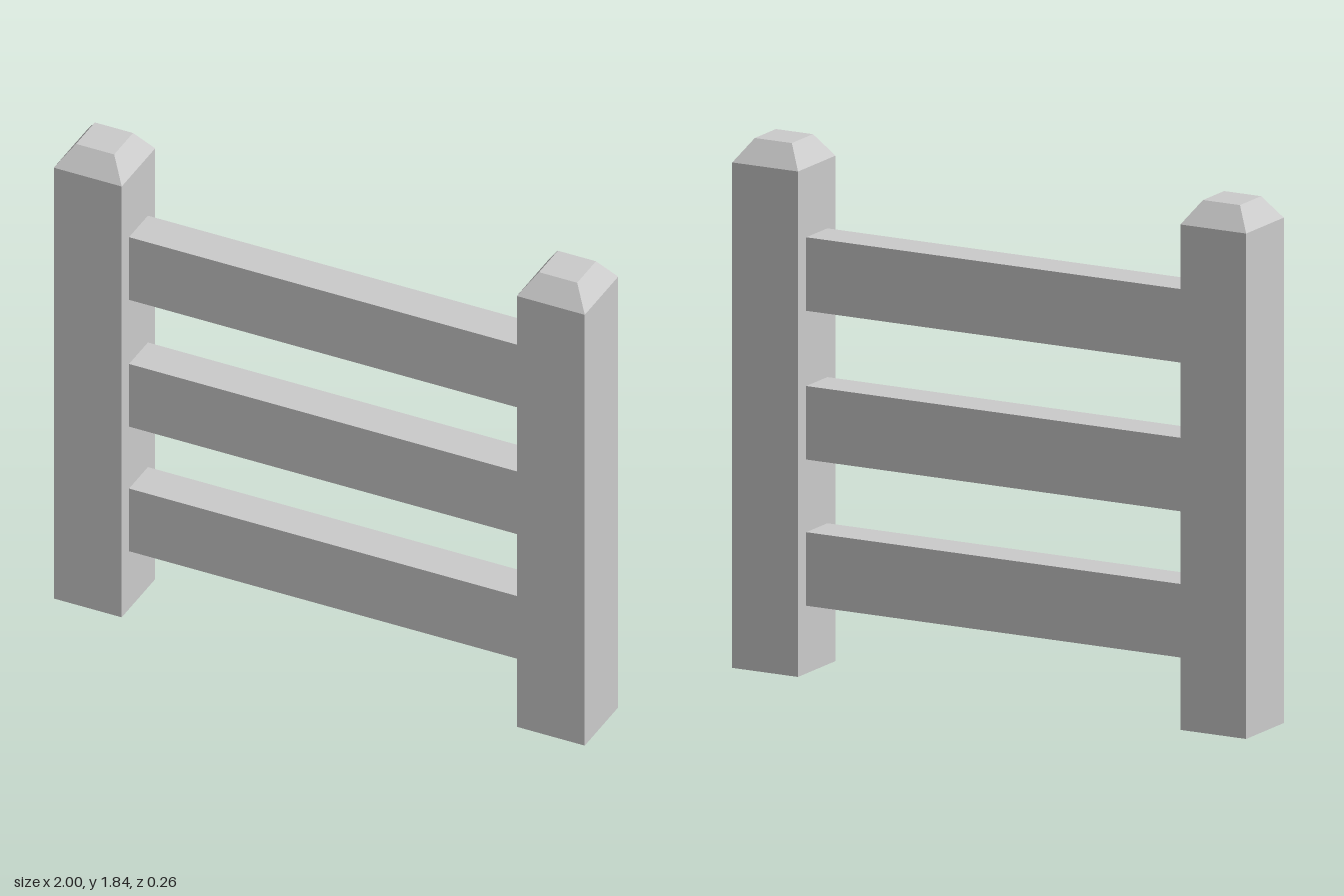
import * as THREE from 'three';

const POST_WIDTH = 0.256;
const POST_SHOULDER = 1.76;
const POST_HEIGHT = 1.84;
const CAP_WIDTH = 0.144;
const RAIL_HEIGHT = 0.256;
const RAIL_DEPTH = 0.144;
const RAIL_CENTRES = [0.364, 0.873, 1.391];

// Square post whose top tapers into a flat-topped cap
function createPostGeometry() {
  const geometry = new THREE.BoxGeometry(POST_WIDTH, 2, POST_WIDTH, 1, 2, 1);
  const heights = [0, POST_SHOULDER, POST_HEIGHT];
  const position = geometry.attributes.position;
  for (let i = 0; i < position.count; i++) {
    const level = Math.round(position.getY(i)) + 1;
    const taper = level === 2 ? CAP_WIDTH / POST_WIDTH : 1;
    position.setXYZ(i, position.getX(i) * taper, heights[level], position.getZ(i) * taper);
  }
  const flat = geometry.toNonIndexed();
  flat.computeVertexNormals();
  return flat;
}

export function createModel() {
  const model = new THREE.Group();
  model.name = 'fence';
  const material = new THREE.MeshStandardMaterial({ color: 0xcccccc, flatShading: true });

  // Posts at both ends
  const postGeometry = createPostGeometry();
  for (const [name, side] of [['leftPost', 1], ['rightPost', -1]]) {
    const post = new THREE.Mesh(postGeometry, material);
    post.name = name;
    post.position.x = side * (1 - POST_WIDTH / 2);
    model.add(post);
  }

  // Rails spanning between the inner post faces
  const railGeometry = new THREE.BoxGeometry(2 - 2 * POST_WIDTH, RAIL_HEIGHT, RAIL_DEPTH);
  const railNames = ['bottomRail', 'middleRail', 'topRail'];
  RAIL_CENTRES.forEach((y, i) => {
    const rail = new THREE.Mesh(railGeometry, material);
    rail.name = railNames[i];
    rail.position.y = y;
    model.add(rail);
  });

  return model;
}
